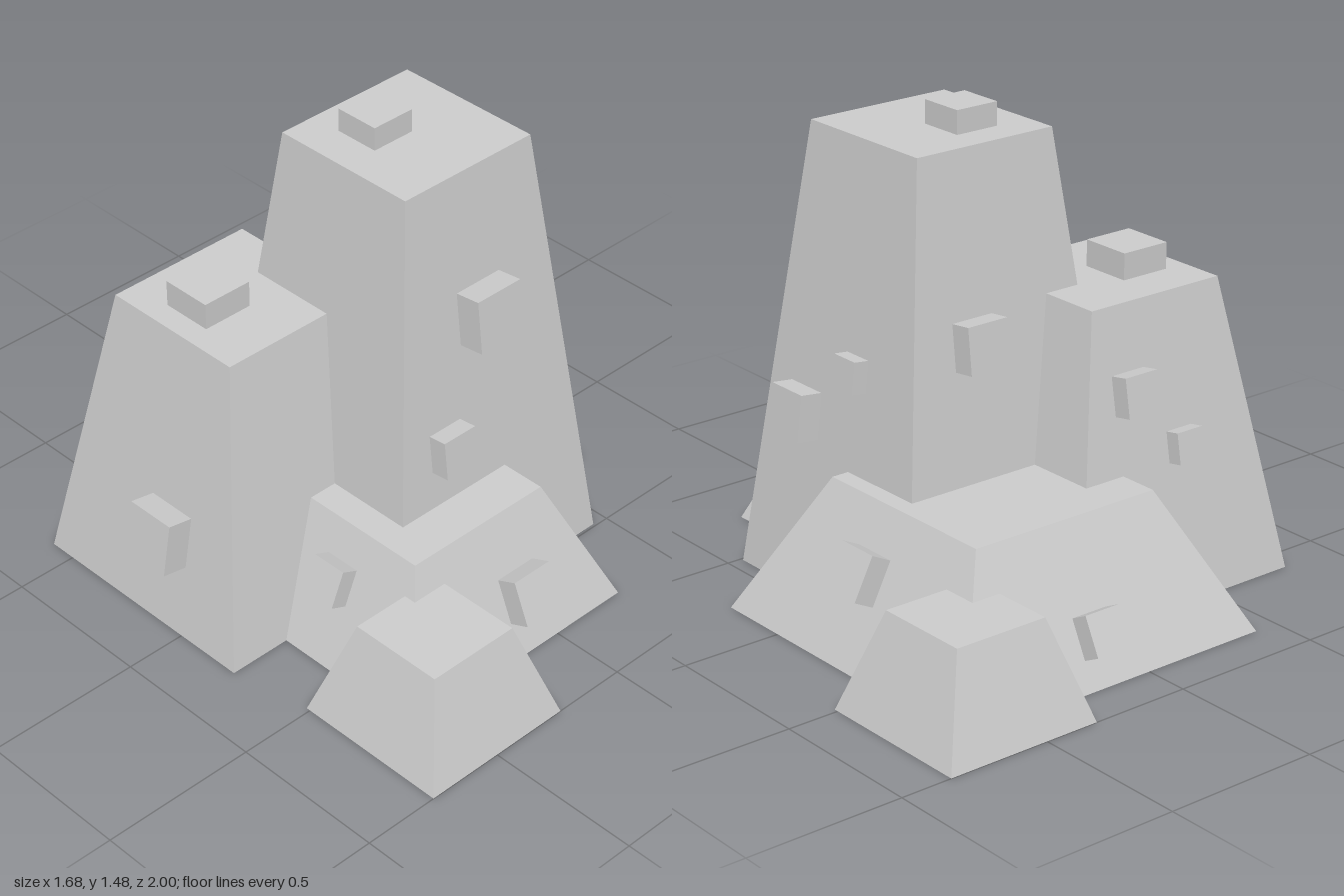
import * as THREE from 'three';

const TAPER = 0.6; // top width relative to base width

export function createModel() {
  const model = new THREE.Group();
  const material = new THREE.MeshStandardMaterial({ color: 0xcccccc, flatShading: true });

  // Square block whose top is narrower than its base
  function block(name, x, z, size, height) {
    const geometry = new THREE.BoxGeometry(size, height, size);
    const p = geometry.attributes.position;
    for (let i = 0; i < p.count; i++) {
      if (p.getY(i) > 0) p.setXYZ(i, p.getX(i) * TAPER, p.getY(i), p.getZ(i) * TAPER);
    }
    geometry.translate(0, height / 2, 0);
    geometry.computeVertexNormals();
    const mesh = new THREE.Mesh(geometry, material);
    mesh.name = name;
    mesh.position.set(x, 0, z);
    model.add(mesh);
    return { x, z, size, height };
  }

  function cube(name, size) {
    const mesh = new THREE.Mesh(new THREE.BoxGeometry(size, size, size), material);
    mesh.name = name;
    model.add(mesh);
    return mesh;
  }

  // Cube half sunk into a sloping wall; "along" is its world x or z on that wall
  const turns = { front: 0, left: Math.PI / 2, back: Math.PI, right: -Math.PI / 2 };
  function wallStud(b, side, along, y, size) {
    const inset = b.size * (1 - TAPER) / 2;
    const out = b.size / 2 - inset * y / b.height;
    const turn = turns[side];
    const stud = cube(side + 'Stud', size);
    if (side === 'front' || side === 'back') {
      stud.position.set(along, y, b.z + out * Math.cos(turn));
    } else {
      stud.position.set(b.x + out * Math.sin(turn), y, along);
    }
    stud.rotation.set(-Math.atan2(inset, b.height), turn, 0, 'YXZ');
  }

  // Cube half sunk into the flat top of a block
  function topStud(b, x, z, size) {
    cube('topStud', size).position.set(x, b.height, z);
  }

  // Tapered blocks
  const tower = block('mainTower', 0.038, 0.078, 0.825, 1.41);
  const sideTower = block('sideTower', -0.392, -0.18, 0.82, 0.93);
  const rearBlock = block('rearBlock', 0.128, -0.312, 1.095, 0.433);
  const frontBlock = block('frontBlock', -0.165, 0.332, 0.86, 0.4);
  block('frontCorner', -0.496, 0.743, 0.513, 0.31);
  block('rearCorner', 0.577, -0.743, 0.513, 0.31);

  // Studs on the main tower
  topStud(tower, -0.016, 0.008, 0.147);
  wallStud(tower, 'front', 0.04, 0.96, 0.17);
  wallStud(tower, 'front', -0.133, 0.58, 0.123);
  wallStud(tower, 'left', 0.017, 0.735, 0.098);
  wallStud(tower, 'left', 0.245, 0.555, 0.145);
  wallStud(tower, 'back', 0.134, 0.845, 0.144);

  // Studs on the side tower
  topStud(sideTower, -0.48, -0.2, 0.167);
  wallStud(sideTower, 'right', -0.1, 0.31, 0.168);
  wallStud(sideTower, 'back', -0.256, 0.67, 0.122);
  wallStud(sideTower, 'back', -0.43, 0.475, 0.097);

  // Studs on the low blocks
  wallStud(rearBlock, 'left', -0.265, 0.245, 0.143);
  wallStud(rearBlock, 'back', 0.145, 0.137, 0.124);
  wallStud(frontBlock, 'front', -0.083, 0.167, 0.143);
  wallStud(frontBlock, 'right', 0.34, 0.24, 0.117);

  return model;
}
